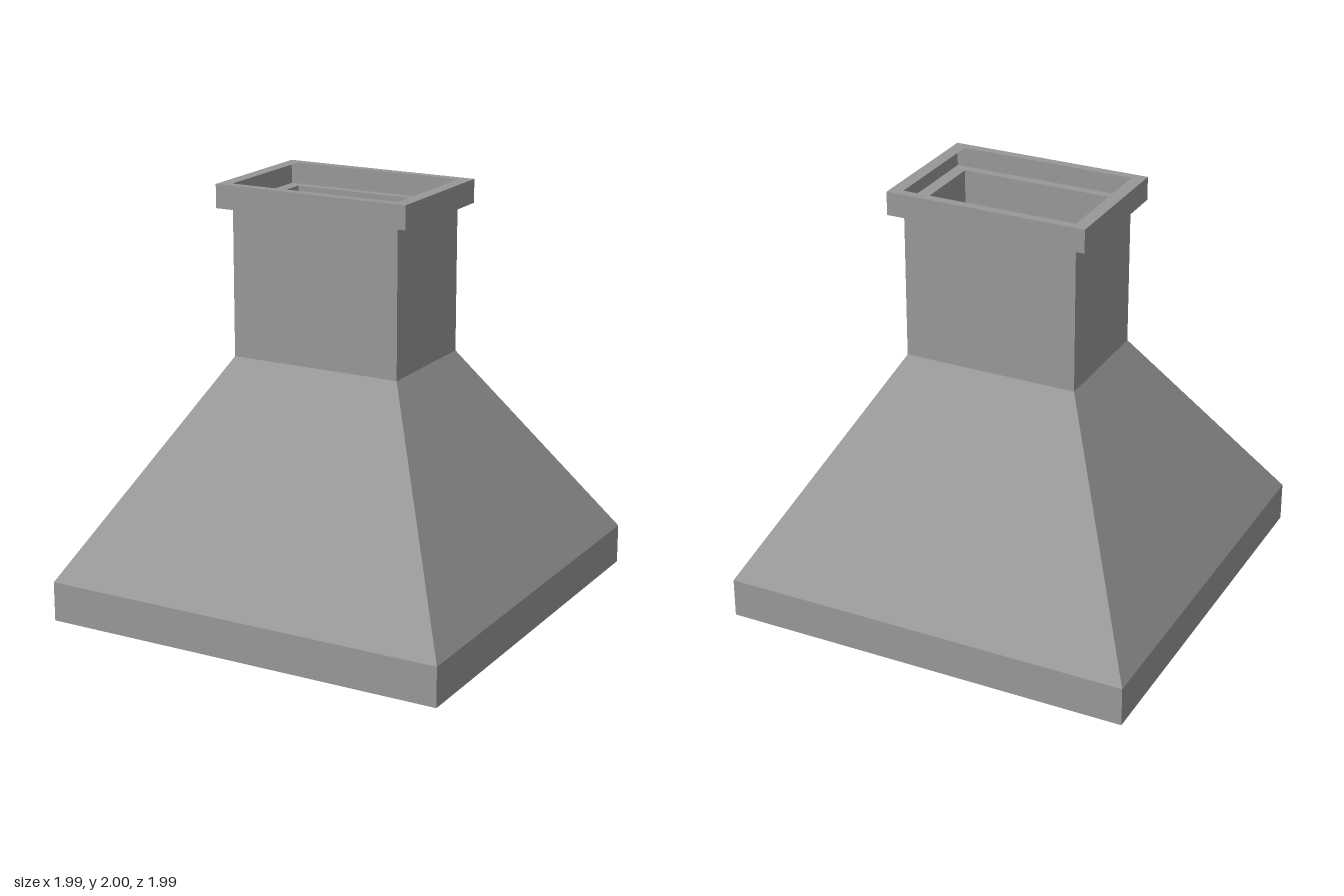
import * as THREE from 'three';

const material = new THREE.MeshStandardMaterial({ color: 0x989898, flatShading: true, side: THREE.DoubleSide });

// Thin rectangular sheet lofted through stations [halfWidth, y, halfDepth]
function rectLoft(name, stations) {
  const signs = [[1, 1], [1, -1], [-1, -1], [-1, 1]];
  const rings = stations.map(([w, y, d]) => signs.map(([sx, sz]) => [sx * w, y, sz * d]));
  const positions = [];
  for (let i = 0; i < rings.length - 1; i++) {
    const low = rings[i], high = rings[i + 1];
    for (let k = 0; k < 4; k++) {
      const n = (k + 1) % 4;
      positions.push(...low[k], ...low[n], ...high[n], ...low[k], ...high[n], ...high[k]);
    }
  }
  const geometry = new THREE.BufferGeometry();
  geometry.setAttribute('position', new THREE.Float32BufferAttribute(positions, 3));
  geometry.computeVertexNormals();
  const mesh = new THREE.Mesh(geometry, material);
  mesh.name = name;
  return mesh;
}

function rectPath(path, w, d, z = 0) {
  path.moveTo(-w, z - d);
  path.lineTo(w, z - d);
  path.lineTo(w, z + d);
  path.lineTo(-w, z + d);
  path.closePath();
  return path;
}

export function createModel() {
  const group = new THREE.Group();
  group.name = 'rangeHood';

  // Skirt with a narrow bottom rim and a bevel leading in to the filter panel
  group.add(rectLoft('skirt', [
    [0.92, 0.065, 0.92], [0.97, 0, 0.97], [0.995, 0, 0.995], [0.995, 0.19, 0.995],
  ]));

  // Sloping canopy and straight duct
  group.add(rectLoft('canopy', [[0.995, 0.19, 0.995], [0.425, 1.185, 0.295]]));
  group.add(rectLoft('duct', [[0.425, 1.185, 0.295], [0.425, 1.888, 0.295]]));

  // Collar: a hollow channel, open towards the duct
  group.add(rectLoft('collar', [
    [0.425, 1.888, 0.295], [0.487, 1.888, 0.34], [0.487, 2, 0.34], [0.425, 2, 0.295],
  ]));

  // Recessed filter panel with three long slots
  const slotCentres = [-0.52, 0, 0.52];
  const panelShape = rectPath(new THREE.Shape(), 0.92, 0.92);
  slotCentres.forEach((z) => panelShape.holes.push(rectPath(new THREE.Path(), 0.9, 0.125, z)));
  const panelGeometry = new THREE.ExtrudeGeometry(panelShape, { depth: 0.055, bevelEnabled: false });
  panelGeometry.rotateX(-Math.PI / 2);
  const panel = new THREE.Mesh(panelGeometry, material);
  panel.name = 'filterPanel';
  panel.position.y = 0.065;
  group.add(panel);

  // Baffles closing the slots from above
  slotCentres.forEach((z) => {
    const baffle = new THREE.Mesh(new THREE.BoxGeometry(1.8, 0.02, 0.25), material);
    baffle.name = 'filterBaffle';
    baffle.position.set(0, 0.13, z);
    group.add(baffle);
  });

  return group;
}
